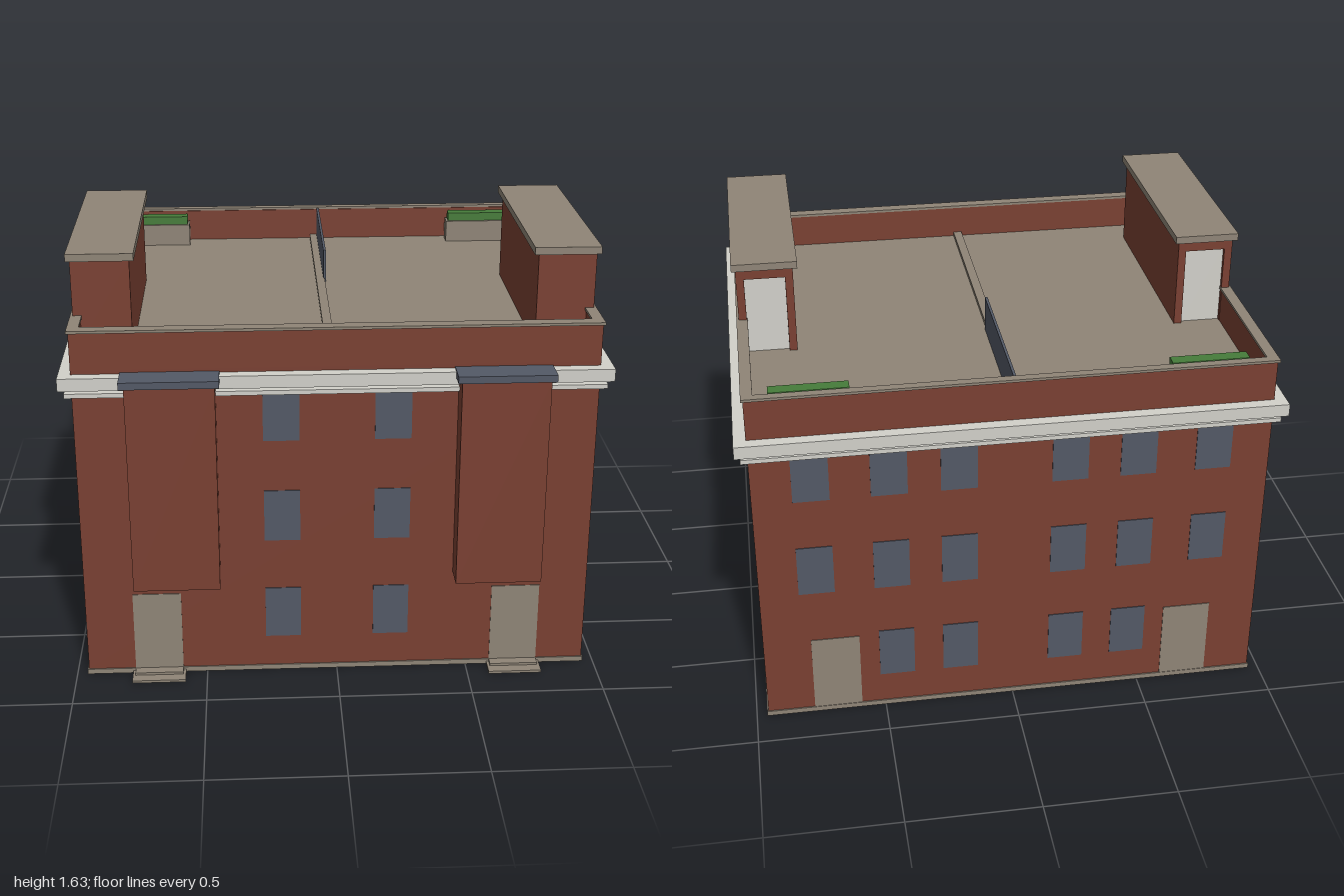
import * as THREE from 'three';

const mat = (name, color) => {
  const m = new THREE.MeshStandardMaterial({ color });
  m.name = name;
  return m;
};

export function createModel() {
  const root = new THREE.Group();
  root.name = 'brickBuilding';
  const brick = mat('brick', 0x7a4032);
  const stone = mat('stone', 0x8f8577);
  const trim = mat('paleTrim', 0xd2d1ca);
  const slate = mat('slate', 0x535966);
  const leaf = mat('leafGreen', 0x467c3a);

  // Box given by its lower and upper bounds on each axis
  function box(name, material, [x0, x1], [y0, y1], [z0, z1], parent = root) {
    const mesh = new THREE.Mesh(new THREE.BoxGeometry(x1 - x0, y1 - y0, z1 - z0), material);
    mesh.position.set((x0 + x1) / 2, (y0 + y1) / 2, (z0 + z1) / 2);
    mesh.name = name;
    parent.add(mesh);
    return mesh;
  }
  // The same box on both sides of x = 0
  function pair(name, material, [x0, x1], y, z) {
    box(name + 'Left', material, [x0, x1], y, z);
    box(name + 'Right', material, [-x1, -x0], y, z);
  }
  // Rectangular ring with an open middle
  function ring(name, material, outX, inX, [zb, zf], [izb, izf], [y0, y1]) {
    const shape = new THREE.Shape();
    shape.moveTo(-outX, -zf).lineTo(outX, -zf).lineTo(outX, -zb).lineTo(-outX, -zb).closePath();
    const hole = new THREE.Path();
    hole.moveTo(-inX, -izf).lineTo(-inX, -izb).lineTo(inX, -izb).lineTo(inX, -izf).closePath();
    shape.holes.push(hole);
    const geo = new THREE.ExtrudeGeometry(shape, { depth: y1 - y0, bevelEnabled: false });
    geo.rotateX(-Math.PI / 2);
    const mesh = new THREE.Mesh(geo, material);
    mesh.position.y = y0;
    mesh.name = name;
    root.add(mesh);
  }

  const W = 0.955, ZB = -0.85, ZF = 0.79, ROOF = 1.25;

  // Main block, plinth and roof deck
  box('plinth', stone, [-0.96, 0.96], [0, 0.02], [-0.855, 0.795]);
  box('walls', brick, [-W, W], [0.02, ROOF], [ZB, ZF]);
  box('roofDeck', stone, [-0.93, 0.93], [ROOF, ROOF + 0.008], [-0.83, 0.76]);

  // Cornice bands, parapet and coping
  ring('lowerCornice', trim, 0.98, 0.94, [-0.875, 0.815], [-0.83, 0.77], [1.153, 1.17]);
  ring('upperCornice', trim, 1.0, 0.94, [-0.895, 0.833], [-0.83, 0.77], [1.187, 1.235]);
  ring('parapet', brick, W, 0.925, [ZB, ZF], [-0.822, 0.755], [ROOF, 1.39]);
  ring('coping', stone, 0.962, 0.92, [-0.858, 0.796], [-0.825, 0.75], [1.39, 1.4]);

  // Roof curb and dividing screen
  box('roofCurb', stone, [-0.035, 0], [ROOF, 1.275], [-0.822, 0.755]);
  box('roofScreen', slate, [-0.005, 0.005], [ROOF, 1.395], [-0.822, -0.17]);

  // Stair towers with a recessed door at the back
  pair('towerCore', brick, [0.74, 0.953], [ROOF, 1.607], [-0.215, 0.625]);
  pair('towerJambOuter', brick, [0.923, 0.953], [ROOF, 1.607], [-0.237, -0.215]);
  pair('towerJambInner', brick, [0.74, 0.77], [ROOF, 1.607], [-0.237, -0.215]);
  pair('towerLintel', brick, [0.77, 0.923], [1.565, 1.607], [-0.237, -0.215]);
  pair('towerDoor', trim, [0.77, 0.923], [ROOF, 1.565], [-0.221, -0.214]);
  pair('towerCap', stone, [0.723, 0.967], [1.607, 1.635], [-0.257, 0.638]);

  // Roof planters
  pair('planter', stone, [0.573, 0.877], [ROOF, 1.35], [-0.802, -0.735]);
  pair('planterHedge', leaf, [0.582, 0.868], [1.35, 1.385], [-0.793, -0.744]);

  // Projecting front bays with slate caps
  pair('bay', brick, [0.44, 0.762], [0.405, 1.213], [ZF - 0.01, 0.885]);
  pair('bayCap', slate, [0.424, 0.78], [1.213, 1.24], [ZF - 0.002, 0.895]);

  // Doors front and back, with steps at the front
  pair('frontDoor', stone, [0.592, 0.775], [0.02, 0.34], [ZF - 0.004, ZF + 0.003]);
  pair('backDoor', stone, [0.592, 0.775], [0.02, 0.34], [ZB - 0.003, ZB + 0.004]);
  pair('upperStep', stone, [0.592, 0.775], [0, 0.02], [ZF, 0.83]);
  pair('lowerStep', stone, [0.582, 0.785], [0, 0.01], [ZF, 0.87]);

  // Windows on three floors
  const floors = [[0.147, 0.355], [0.557, 0.762], [0.963, 1.16]];
  const half = 0.067;
  floors.forEach((y, floor) => {
    pair('frontWindow', slate, [0.205 - half, 0.205 + half], y, [ZF - 0.004, ZF + 0.003]);
    const columns = floor === 0 ? [0.205, 0.45] : [0.205, 0.46, 0.742];
    for (const x of columns) {
      pair('backWindow', slate, [x - half, x + half], y, [ZB - 0.003, ZB + 0.004]);
    }
    for (let i = -2; i <= 2; i++) {
      const z = -0.03 + i * 0.274;
      pair('sideWindow', slate, [W - 0.004, W + 0.003], y, [z - half, z + half]);
    }
  });
  return root;
}
